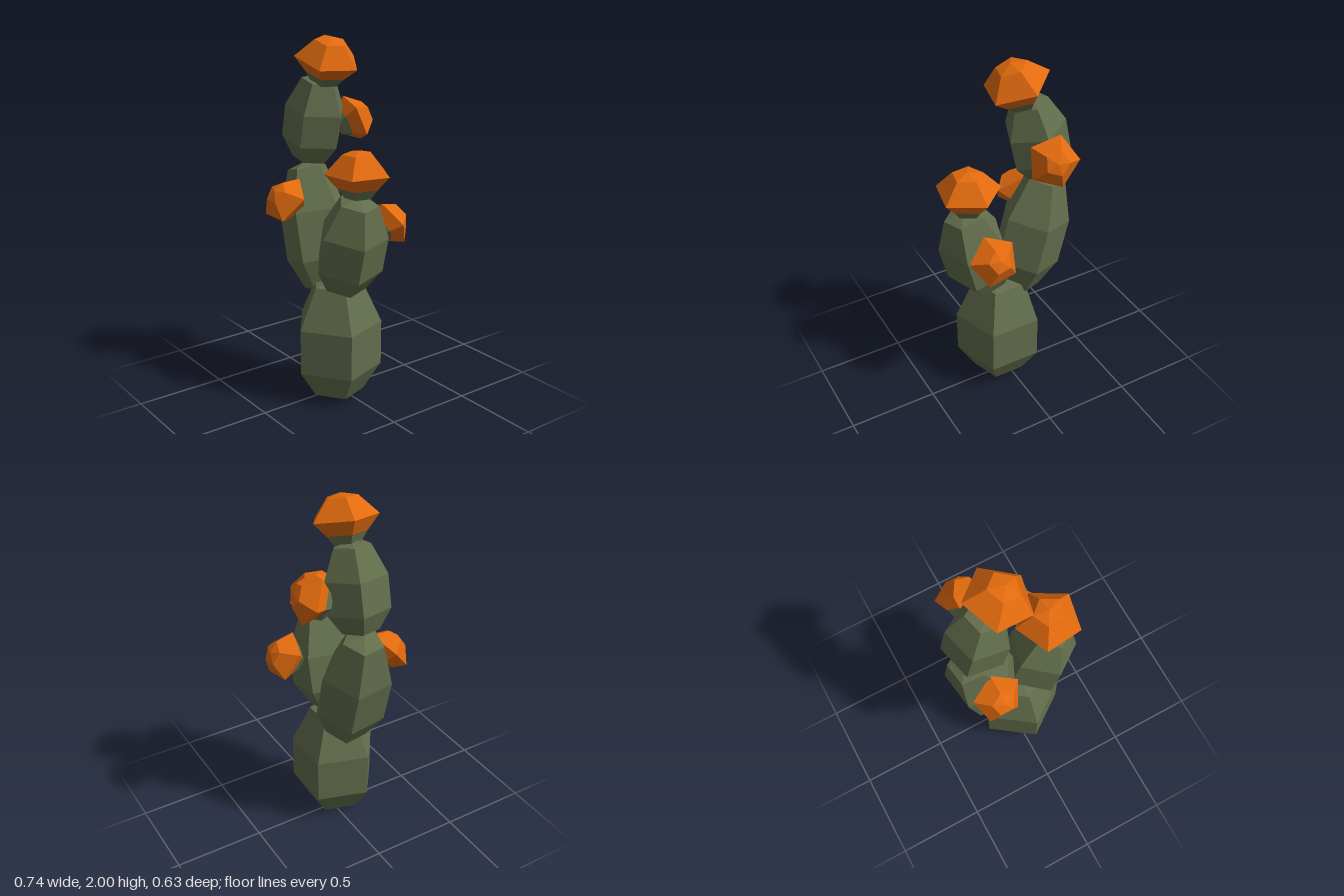
import * as THREE from 'three';

const UP = new THREE.Vector3(0, 1, 0);
const SIDES = 5;

// [radius, height] profiles; pads are in unit size, flowers in model units
const PAD = [[0, 0], [0.6, 0.035], [1, 0.26], [1, 0.625], [0.58, 0.95], [0, 1]];
const CUP = [[0, 0], [0.075, 0], [0.112, 0.052]];
const PETALS = [[0.112, 0.052], [0.18, 0.127], [0.085, 0.23], [0, 0.25]];

export function createModel() {
  const green = new THREE.MeshStandardMaterial({ color: 0x636e4c, flatShading: true });
  green.name = 'cactusGreen';
  const orange = new THREE.MeshStandardMaterial({ color: 0xe26a0e, flatShading: true });
  orange.name = 'flowerOrange';

  const model = new THREE.Group();
  model.name = 'cactus';

  // Five-sided turned solid, with one corner at the given angle from +z
  function turned(name, profile, radius, height, phaseDeg, material) {
    const points = profile.map(([r, y]) => new THREE.Vector2(r * radius, y * height));
    const geometry = new THREE.LatheGeometry(points, SIDES, THREE.MathUtils.degToRad(phaseDeg));
    const mesh = new THREE.Mesh(geometry, material);
    mesh.name = name;
    return mesh;
  }

  // Cactus pad leaning sideways from its base point
  function addPad(name, base, radius, height, phaseDeg, leanDeg) {
    const pad = turned(name, PAD, radius, height, phaseDeg, green);
    pad.position.set(...base);
    pad.rotation.z = THREE.MathUtils.degToRad(leanDeg);
    model.add(pad);
  }

  // Flower: green cup with orange petals, growing along an axis
  function addFlower(name, base, axis, size, phaseDeg) {
    const flower = new THREE.Group();
    flower.name = name;
    flower.add(turned('cup', CUP, size, size, phaseDeg, green));
    flower.add(turned('petals', PETALS, size, size, phaseDeg, orange));
    flower.position.set(...base);
    flower.quaternion.setFromUnitVectors(UP, new THREE.Vector3(...axis).normalize());
    model.add(flower);
  }

  // Pads
  addPad('trunk', [0.035, 0.005, 0.035], 0.247, 0.7, 0, 0);
  addPad('leftArm', [0.105, 0.655, 0.045], 0.192, 0.56, 0, -14);
  addPad('rightArm', [-0.085, 0.59, 0.027], 0.194, 0.735, 25.6, 14);
  addPad('rightArmTop', [-0.235, 1.31, 0.02], 0.17, 0.49, 32, -12);

  // Flowers on the tips
  addFlower('leftTipFlower', [0.215, 1.197, 0.03], [0, 1, 0], 1, 42);
  addFlower('rightTipFlower', [-0.102, 1.758, 0.015], [0.29, 0.957, 0.03], 1, 41);

  // Smaller flowers on the sides
  addFlower('frontFlower', [-0.19, 1.06, 0.145], [0.05, 0.65, 0.76], 0.78, 36);
  addFlower('upperBackFlower', [-0.17, 1.493, -0.13], [0.25, 0.38, -0.88], 0.78, 36);
  addFlower('lowerBackFlower', [0.186, 0.965, -0.115], [0.02, 0.5, -0.86], 0.78, 9);

  return model;
}
